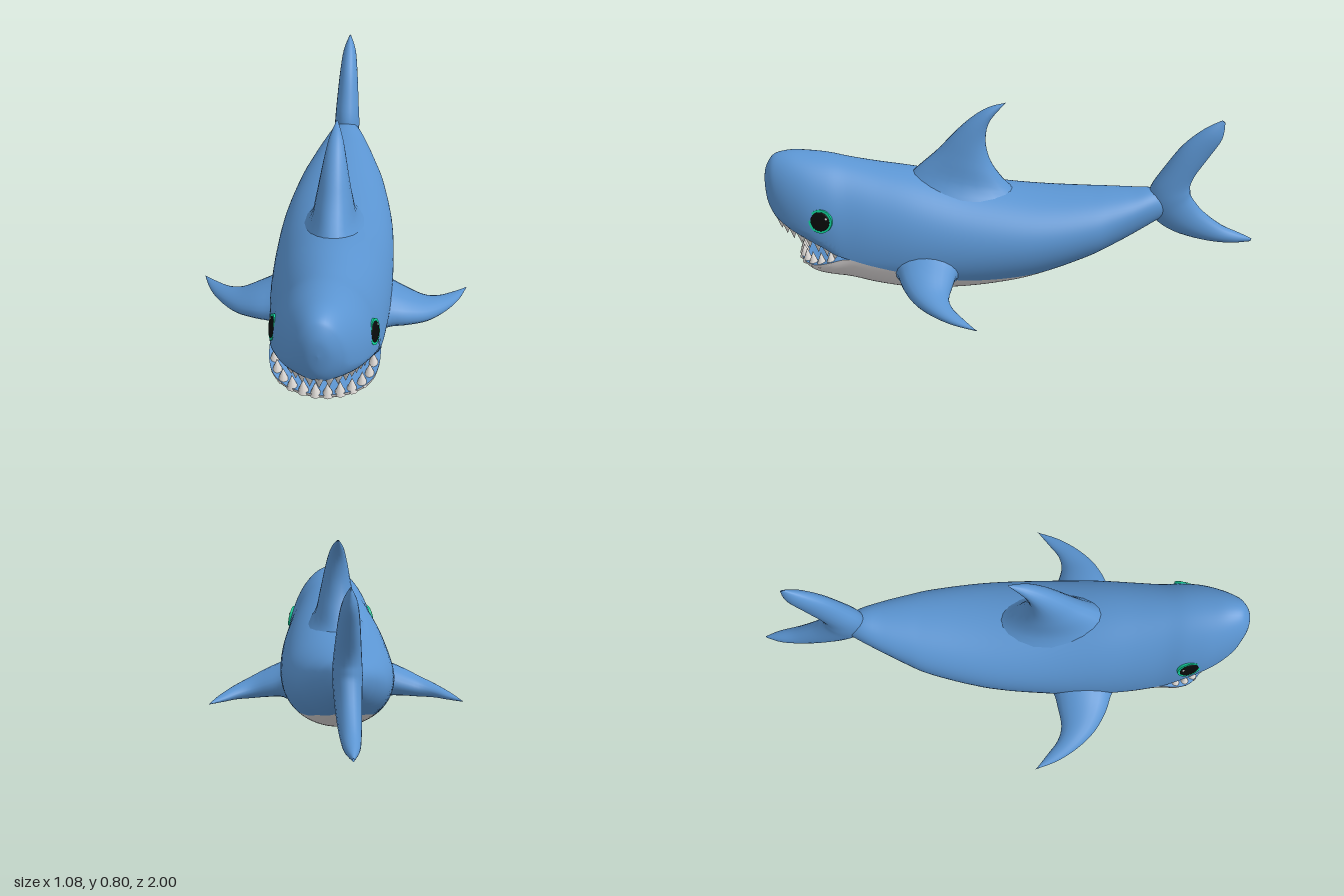
import * as THREE from 'three';

const mat = (name, color, extra = {}) => {
  const m = new THREE.MeshStandardMaterial({ color, ...extra });
  m.name = name;
  return m;
};

// Smooth interpolation through rows of numbers, n steps per interval
function refine(rows, n) {
  const out = [];
  const last = rows.length - 1;
  for (let i = 0; i < last; i++) {
    const p = [rows[Math.max(i - 1, 0)], rows[i], rows[i + 1], rows[Math.min(i + 2, last)]];
    for (let k = 0; k < n; k++) {
      const t = k / n;
      out.push(p[1].map((b, c) => {
        const a = p[0][c], d = p[2][c], e = p[3][c];
        return 0.5 * (2 * b + (d - a) * t + (2 * a - 5 * b + 4 * d - e) * t * t + (3 * b - a - 3 * d + e) * t ** 3);
      }));
    }
  }
  out.push(rows[last]);
  return out;
}

// Skin over a list of rings of [x, y, z] points
function skin(rings, closed = false) {
  const m = rings[0].length, index = [];
  for (let i = 0; i < rings.length - 1; i++) {
    for (let j = 0; j < (closed ? m : m - 1); j++) {
      const k = (j + 1) % m;
      const a = i * m + j, b = i * m + k;
      index.push(a, b, a + m, b, b + m, a + m);
    }
  }
  const g = new THREE.BufferGeometry();
  g.setAttribute('position', new THREE.Float32BufferAttribute(rings.flat(2), 3));
  g.setIndex(index);
  g.computeVertexNormals();
  return g;
}

// Body sections: z, top, half width, height of widest point, bottom, colour edge or lip
const TRUNK = [
  [-0.66, 0.36, 0.02, 0.335, 0.31, 0.31],
  [-0.58, 0.405, 0.065, 0.34, 0.265, 0.265],
  [-0.48, 0.405, 0.11, 0.32, 0.21, 0.21],
  [-0.38, 0.405, 0.15, 0.29, 0.162, 0.168],
  [-0.3, 0.405, 0.178, 0.27, 0.128, 0.15],
  [-0.15, 0.41, 0.21, 0.25, 0.073, 0.117],
  [0, 0.425, 0.23, 0.235, 0.032, 0.107],
  [0.2, 0.46, 0.238, 0.225, 0.005, 0.112],
  [0.4, 0.51, 0.235, 0.22, 0.004, 0.155],
  [0.55, 0.54, 0.222, 0.22, 0.03, 0.19],
  [0.66, 0.565, 0.208, 0.23, 0.06, 0.222],
];
const SNOUT = [
  [0.74, 0.585, 0.197, 0.28, 0.19, 0.245],
  [0.82, 0.598, 0.176, 0.33, 0.235, 0.275],
  [0.89, 0.604, 0.145, 0.36, 0.275, 0.303],
  [0.945, 0.595, 0.108, 0.4, 0.31, 0.322],
  [0.972, 0.573, 0.077, 0.44, 0.335, 0.335],
  [0.993, 0.53, 0.04, 0.465, 0.385, 0.385],
  [1, 0.47, 0, 0.47, 0.469, 0.469],
];
const JAW = [
  [0.74, 0.5, 0.203, 0.205, 0.085, 0.205],
  [0.8, 0.5, 0.18, 0.184, 0.108, 0.184],
  [0.845, 0.5, 0.13, 0.174, 0.13, 0.174],
  [0.868, 0.5, 0.07, 0.17, 0.145, 0.17],
  [0.875, 0.5, 0, 0.163, 0.16, 0.163],
];
const HINGE = TRUNK.length - 1, STEP = 5;

// Angle below the widest point at which the colour edge or lip lies
const edgeAngle = ([, , , cy, bot, b]) =>
  Math.asin(THREE.MathUtils.clamp((cy - b) / Math.max(cy - bot, 1e-4), 0, 1));

function arc([z, top, w, cy, bot], from, to, n = 32) {
  return Array.from({ length: n + 1 }, (_, j) => {
    const a = from + (to - from) * j / n, s = Math.sin(a);
    return [w * Math.cos(a), cy + s * (s > 0 ? top - cy : cy - bot), z];
  });
}

const lipPoint = (row) => arc(row, -edgeAngle(row), 0, 1)[0];

// Curved mouth lining from lip to lip; side is 1 for floor, -1 for palate
function lining(rows, side, depth) {
  return skin(rows.map((row, i) => {
    const [x, y, z] = lipPoint(row);
    const h = depth * Math.sin(Math.PI * i / (rows.length - 1));
    return Array.from({ length: 13 }, (_, j) => {
      const u = side * (1 - j / 6);
      return [x * u, y - side * h * (1 - u * u), z];
    });
  }));
}

// Fin lofted through leading point, trailing point and half thickness
function fin(rows, normal) {
  return skin(refine(rows, 4).map(([ax, ay, az, bx, by, bz, t]) =>
    Array.from({ length: 20 }, (_, j) => {
      const a = j / 20 * Math.PI * 2, c = Math.cos(a) / 2, s = Math.sin(a) * t;
      return [
        (ax + bx) / 2 + (ax - bx) * c + normal[0] * s,
        (ay + by) / 2 + (ay - by) * c + normal[1] * s,
        (az + bz) / 2 + (az - bz) * c,
      ];
    })), true);
}
const upright = (rows) => rows.map(([z1, y1, z2, y2, t]) => [0, y1, z1, 0, y2, z2, t]);

export function createModel() {
  const model = new THREE.Group();
  model.name = 'shark';
  const blue = mat('blue skin', 0x5b95d2, { side: THREE.DoubleSide });
  const pale = mat('pale belly', 0xdad6d6, { side: THREE.DoubleSide });
  const ivory = mat('tooth ivory', 0xe0dcd8);
  const black = mat('eye black', 0x080a0a);
  const green = mat('eye green', 0x10d29a);
  const white = mat('eye glint', 0xffffff);
  const add = (name, geometry, material, parent = model) => {
    const mesh = new THREE.Mesh(geometry, material);
    mesh.name = name;
    parent.add(mesh);
    return mesh;
  };

  // Back and snout above the colour edge, belly and lower jaw below it
  const upper = refine([...TRUNK, ...SNOUT], STEP);
  const lower = refine([...TRUNK, ...JAW], STEP);
  add('upperBody', skin(upper.map((r) => arc(r, -edgeAngle(r), Math.PI + edgeAngle(r), 48))), blue);
  add('bellyAndJaw', skin(lower.slice(2 * STEP).map((r) =>
    arc(r, Math.PI + edgeAngle(r), 2 * Math.PI - edgeAngle(r)))), pale);

  // Mouth
  const upperLip = upper.slice(HINGE * STEP, (HINGE + 5) * STEP + 1);
  const lowerLip = lower.slice(HINGE * STEP);
  add('palate', lining(upperLip, -1, 0.05), blue);
  add('mouthFloor', lining(lowerLip, 1, 0.01), blue);

  // Teeth spaced along each lip, leaving the mouth corners bare
  const teeth = (name, lip, count, length, dir) => {
    const group = new THREE.Group();
    group.name = name;
    model.add(group);
    const half = lip.map(lipPoint).map(([x, y, z]) => new THREE.Vector3(x * 0.9, y, z - 0.012));
    const mirrored = half.slice(0, -1).reverse().map((p) => new THREE.Vector3(-p.x, p.y, p.z));
    const points = new THREE.CatmullRomCurve3([...half, ...mirrored]).getSpacedPoints(count + 3);
    const geometry = new THREE.ConeGeometry(0.022, length, 10).translate(0, length / 2 - 0.012, 0);
    points.slice(2, -2).forEach((p) => {
      const tooth = add('tooth', geometry, ivory, group);
      tooth.position.copy(p);
      if (dir < 0) tooth.rotation.x = Math.PI;
    });
  };
  teeth('upperTeeth', upperLip, 17, 0.062, -1);
  teeth('lowerTeeth', lowerLip, 12, 0.062, 1);

  // Dorsal fin, flared where it meets the back
  add('dorsalFin', fin(upright([
    [0.5, 0.4, -0.08, 0.36, 0.16],
    [0.41, 0.505, 0.01, 0.43, 0.093],
    [0.31, 0.595, 0.078, 0.52, 0.071],
    [0.24, 0.67, 0.107, 0.6, 0.056],
    [0.17, 0.735, 0.109, 0.67, 0.042],
    [0.1, 0.78, 0.09, 0.73, 0.027],
    [0.03, 0.8, 0.035, 0.795, 0.003],
  ]), [1, 0]), blue);

  // Tail fin, from the upper tip to the lower tip
  add('tailFin', fin(upright([
    [-0.832, 0.71, -0.845, 0.7, 0.003],
    [-0.76, 0.67, -0.838, 0.63, 0.027],
    [-0.68, 0.6, -0.79, 0.55, 0.039],
    [-0.61, 0.5, -0.742, 0.475, 0.047],
    [-0.56, 0.415, -0.725, 0.43, 0.052],
    [-0.55, 0.34, -0.725, 0.4, 0.055],
    [-0.58, 0.275, -0.735, 0.365, 0.052],
    [-0.66, 0.215, -0.785, 0.3, 0.047],
    [-0.78, 0.172, -0.87, 0.23, 0.039],
    [-0.9, 0.152, -0.95, 0.19, 0.027],
    [-0.995, 0.152, -1, 0.165, 0.003],
  ]), [-1, 0]), blue);

  // Pectoral fins and eyes on both sides
  const pectoral = fin([
    [0.17, 0.165, 0.52, 0.17, 0.165, 0.17, 0.11],
    [0.225, 0.167, 0.475, 0.225, 0.163, 0.228, 0.078],
    [0.3, 0.155, 0.45, 0.29, 0.145, 0.25, 0.06],
    [0.38, 0.135, 0.405, 0.36, 0.125, 0.265, 0.043],
    [0.45, 0.12, 0.335, 0.42, 0.115, 0.25, 0.028],
    [0.505, 0.107, 0.25, 0.475, 0.105, 0.21, 0.015],
    [0.54, 0.097, 0.158, 0.538, 0.097, 0.162, 0.002],
  ], [0, -1]);
  const rim = new THREE.CylinderGeometry(0.048, 0.048, 0.03, 32).rotateX(Math.PI / 2);
  for (const side of [1, -1]) {
    const label = side > 0 ? 'left' : 'right';
    add(label + 'PectoralFin', pectoral, blue).scale.x = side;
    const eye = new THREE.Group();
    eye.name = label + 'Eye';
    eye.position.set(side * 0.178, 0.383, 0.765);
    eye.lookAt(side * (0.178 + 0.95), 0.383 + 0.21, 0.765 + 0.24);
    model.add(eye);
    add('eyeRim', rim, green, eye).position.z = -0.007;
    const pupil = add('pupil', new THREE.SphereGeometry(0.039, 28, 16), black, eye);
    pupil.position.z = 0.008;
    pupil.scale.z = 0.15;
    const glint = add('glint', new THREE.SphereGeometry(0.005, 10, 8), white, eye);
    glint.position.set(side * 0.026, 0.014, 0.012);
    glint.scale.z = 0.5;
  }
  return model;
}
